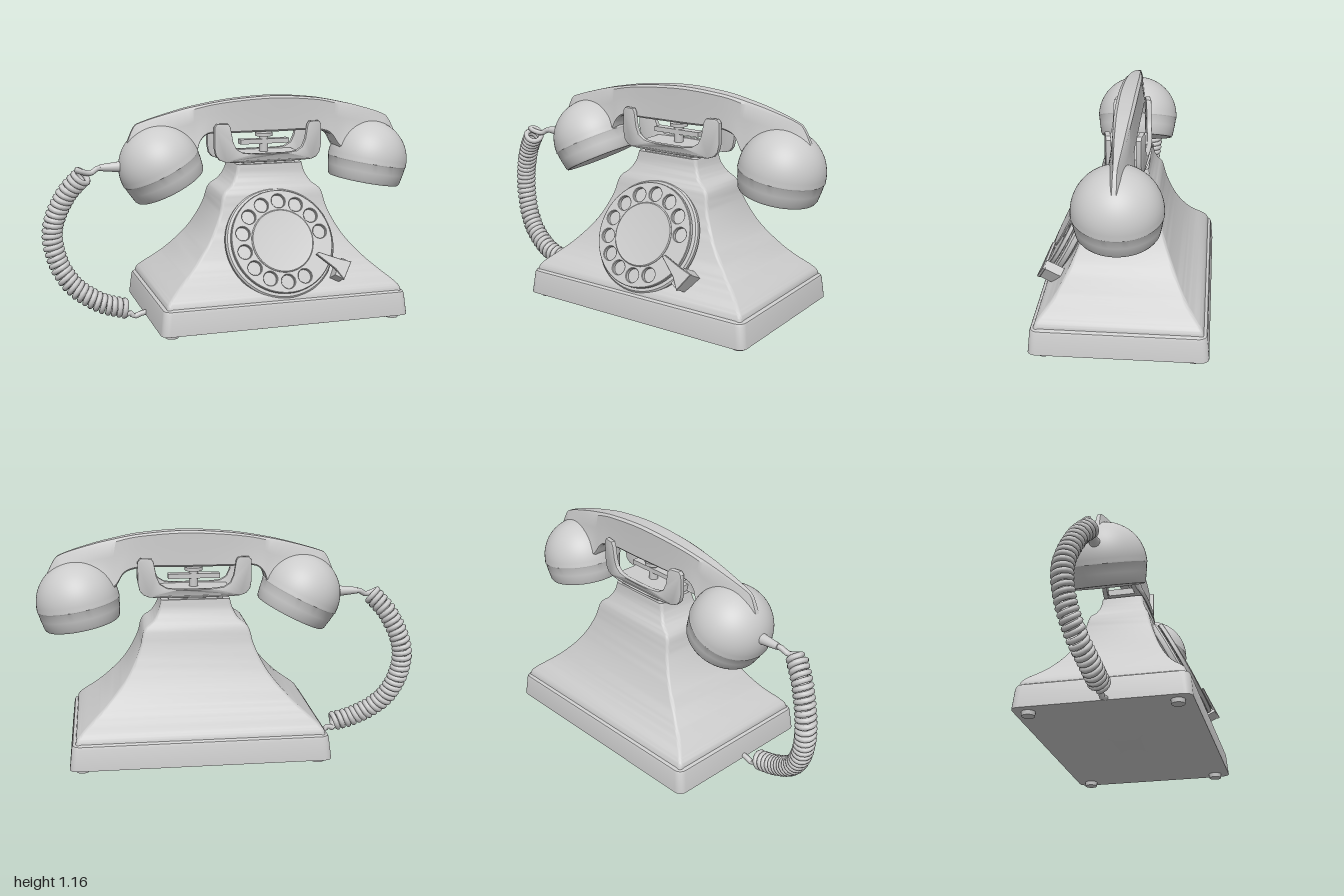
import * as THREE from 'three';
import { toCreasedNormals } from 'three/addons/utils/BufferGeometryUtils.js';

const CX = 0.184; // centre of the body in x
const V2 = (x, y) => new THREE.Vector2(x, y);
const V3 = (x, y, z) => new THREE.Vector3(x, y, z);
const material = new THREE.MeshStandardMaterial({ color: 0xcccccc, side: THREE.DoubleSide });

function add(parent, name, geometry, x = 0, y = 0, z = 0) {
  const mesh = new THREE.Mesh(geometry, material);
  mesh.name = name;
  mesh.position.set(x, y, z);
  parent.add(mesh);
  return mesh;
}

// Skin a list of closed rings (equal point counts) and cap both ends
function loft(rings, crease = 0.6) {
  const n = rings[0].length, pos = [], idx = [];
  rings.flat().forEach(p => pos.push(p.x, p.y, p.z));
  for (let i = 0; i < rings.length - 1; i++) {
    for (let j = 0; j < n; j++) {
      const a = i * n + j, b = i * n + (j + 1) % n;
      idx.push(a, b, a + n, b, b + n, a + n);
    }
  }
  [rings[0], rings.at(-1)].forEach((ring, end) => {
    const c = ring.reduce((s, p) => s.add(p), V3(0, 0, 0)).divideScalar(n);
    const k = pos.length / 3, o = end ? (rings.length - 1) * n : 0;
    pos.push(c.x, c.y, c.z);
    for (let j = 0; j < n; j++) {
      const a = o + j, b = o + (j + 1) % n;
      idx.push(k, end ? a : b, end ? b : a);
    }
  });
  const g = new THREE.BufferGeometry();
  g.setAttribute('position', new THREE.Float32BufferAttribute(pos, 3));
  g.setIndex(idx);
  return toCreasedNormals(g, crease);
}

// Horizontal rounded rectangle at height y
function roundedRing(y, hx, hz, r) {
  const pts = [];
  for (let q = 0; q < 4; q++) {
    const sx = q === 0 || q === 3 ? 1 : -1, sz = q < 2 ? -1 : 1;
    for (let k = 0; k <= 5; k++) {
      const a = (q + k / 5) * Math.PI / 2;
      pts.push(V3(sx * (hx - r) + r * Math.cos(a), y, sz * (hz - r) - r * Math.sin(a)));
    }
  }
  return pts;
}

function buildBody(root) {
  const base = [[0.022, 0.655, 0.43], [0.026, 0.664, 0.441], [0.135, 0.651, 0.431],
    [0.148, 0.646, 0.426], [0.156, 0.632, 0.413]];
  add(root, 'base', loft(base.map(([y, x, z]) => roundedRing(y, x, z, 0.04))), CX);

  // Flared pedestal: half width and half depth against height
  const flare = new THREE.CatmullRomCurve3([
    [0.632, 0.15, 0.413], [0.626, 0.175, 0.405], [0.602, 0.202, 0.386], [0.54, 0.255, 0.336],
    [0.47, 0.318, 0.292], [0.365, 0.44, 0.23], [0.296, 0.575, 0.182], [0.268, 0.67, 0.158],
    [0.222, 0.71, 0.14], [0.192, 0.76, 0.12], [0.178, 0.812, 0.112]].map(p => V3(...p)));
  add(root, 'pedestal', loft(flare.getPoints(50).map(p => roundedRing(p.y, p.x, p.z, 0.018))), CX);

  for (const sx of [-0.6, 0.6]) for (const sz of [-0.365, 0.365]) {
    add(root, 'foot', new THREE.CylinderGeometry(0.036, 0.033, 0.03, 24), CX + sx, 0.015, sz);
  }
}

function buildCradle(root) {
  const cradle = new THREE.Group();
  cradle.name = 'cradle';
  cradle.position.x = CX;
  root.add(cradle);
  // U-shaped fork, bowed outward in the middle
  const right = [[0.1, 0.862], [0.15, 0.868], [0.185, 0.89], [0.203, 0.93], [0.216, 1.005],
    [0.226, 1.02], [0.278, 1.02], [0.29, 1.005], [0.291, 0.9], [0.283, 0.86], [0.265, 0.838], [0.235, 0.827],
    [0.18, 0.825], [0.12, 0.825], [0.05, 0.825]];
  const left = right.map(([x, y]) => [-x, y]).reverse();
  const outline = [[0, 0.862], [0.05, 0.862], ...right, ...left, [-0.05, 0.862]].map(p => V2(...p));
  for (const side of [1, -1]) {
    const g = new THREE.ExtrudeGeometry(new THREE.Shape(outline), {
      depth: 0.018, bevelThickness: 0.004, bevelSize: 0.004, bevelSegments: 2 });
    const p = g.attributes.position;
    for (let i = 0; i < p.count; i++) {
      const x = p.getX(i);
      p.setZ(i, p.getZ(i) - 0.009 + side * (0.072 + 0.03 * (1 - (x / 0.29) ** 2)));
    }
    add(cradle, 'fork', toCreasedNormals(g, 0.6));
  }
  add(cradle, 'cradleFloor', new THREE.BoxGeometry(0.36, 0.035, 0.18), 0, 0.844, 0);
  add(cradle, 'neckPlate', new THREE.BoxGeometry(0.28, 0.02, 0.2), 0, 0.819, 0);
  add(cradle, 'switchBar', new THREE.BoxGeometry(0.27, 0.025, 0.05), 0, 0.917, 0);
  add(cradle, 'plungerStem', new THREE.CylinderGeometry(0.024, 0.024, 0.1, 20), 0, 0.9, 0);
  add(cradle, 'plunger', new THREE.CylinderGeometry(0.046, 0.046, 0.018, 28), 0, 0.953, 0);
}

function buildDial(root) {
  const dial = new THREE.Group();
  dial.name = 'dial';
  dial.position.set(CX, 0.442, 0.313);
  dial.rotation.x = -0.465;
  root.add(dial);
  const turned = (name, pts) => {
    const g = new THREE.LatheGeometry(pts.map(p => V2(...p)), 64);
    add(dial, name, toCreasedNormals(g, 0.6)).rotation.x = Math.PI / 2;
  };
  turned('dialHousing', [[0.24, -0.14], [0.255, -0.075], [0.288, -0.065], [0.292, -0.058],
    [0.292, -0.04], [0.284, -0.03], [0.265, -0.028], [0, -0.028]]);
  turned('dialHub', [[0.165, -0.02], [0.165, 0.003], [0.16, 0.008], [0.145, 0.006], [0, 0.008]]);

  // Finger wheel with twelve holes
  const wheel = new THREE.Shape().absarc(0, 0, 0.268, 0, Math.PI * 2, false);
  for (let i = 0; i < 12; i++) {
    const a = (10 + i * 26) * Math.PI / 180;
    wheel.holes.push(new THREE.Path().absarc(0.212 * Math.cos(a), 0.212 * Math.sin(a), 0.039, 0, Math.PI * 2, true));
  }
  add(dial, 'fingerWheel', toCreasedNormals(new THREE.ExtrudeGeometry(wheel, {
    depth: 0.018, curveSegments: 32, bevelThickness: 0.003, bevelSize: 0.003, bevelSegments: 1 }), 0.6), 0, 0, -0.021);

  // Finger stop: bracket beside the wheel with a pointed arm over it
  const stop = new THREE.Group();
  stop.name = 'fingerStop';
  stop.position.set(0.29, -0.17, 0);
  stop.rotation.z = -0.55;
  dial.add(stop);
  add(stop, 'stopBracket', new THREE.BoxGeometry(0.05, 0.1, 0.125), 0.005, 0, -0.038);
  const arm = new THREE.Shape([V2(0.03, -0.05), V2(0.03, 0.05), V2(-0.03, 0.035), V2(-0.145, 0.016),
    V2(-0.15, 0.004), V2(-0.03, -0.02)]);
  add(stop, 'stopArm', new THREE.ExtrudeGeometry(arm, {
    depth: 0.01, bevelThickness: 0.003, bevelSize: 0.003, bevelSegments: 1 }), 0, 0, 0.018);
}

function buildHandset(root) {
  const handset = new THREE.Group();
  handset.name = 'handset';
  root.add(handset);
  // Crest and underside of the handle as x, y, half thickness
  const curve = pts => new THREE.CatmullRomCurve3(pts.map(p => V3(...p)));
  const crest = curve([[-0.572, 0.88, 0.022], [-0.548, 0.95, 0.016], [-0.512, 1.022, 0.013], [-0.48, 1.038, 0.015],
    [-0.26, 1.1, 0.033], [-0.17, 1.118, 0.039], [-0.12, 1.127, 0.042], [0, 1.144, 0.047], [0.24, 1.158, 0.05],
    [0.46, 1.143, 0.046], [0.52, 1.134, 0.043], [0.6, 1.118, 0.038], [0.7, 1.095, 0.031],
    [0.86, 1.045, 0.015], [0.892, 1.026, 0.013], [0.945, 0.93, 0.016], [0.977, 0.86, 0.022]]);
  const under = curve([[-0.5, 0.83, 0.07], [-0.47, 0.86, 0.08], [-0.43, 0.88, 0.085], [-0.4, 0.88, 0.085],
    [-0.21, 0.87, 0.07], [-0.178, 0.935, 0.06], [-0.14, 0.968, 0.056], [0, 0.97, 0.055], [0.24, 0.97, 0.055],
    [0.48, 0.968, 0.055], [0.545, 0.945, 0.058], [0.6, 0.87, 0.07], [0.66, 0.87, 0.08],
    [0.8, 0.88, 0.085], [0.83, 0.88, 0.085], [0.87, 0.86, 0.08], [0.9, 0.83, 0.07]]);
  const rings = [];
  for (let i = 0; i <= 80; i++) {
    const t = crest.getPoint(i / 80), b = under.getPoint(i / 80);
    const at = (f, z) => V3(t.x + (b.x - t.x) * f, t.y + (b.y - t.y) * f, z);
    const half = [at(0, t.z * 0.7), at(0.06, t.z), at(0.35, t.z + (b.z - t.z) * 0.2),
      at(0.65, t.z + (b.z - t.z) * 0.5), at(0.95, b.z), at(1, b.z * 0.85)];
    rings.push([...half, ...half.map(p => V3(p.x, p.y, -p.z)).reverse()]);
  }
  add(handset, 'handle', loft(rings));

  // Domed cups with a tapered cap ring and a dished face
  const profile = [V2(0, 0.03), V2(0.09, 0.024), V2(0.15, 0.012), V2(0.183, 0), V2(0.192, 0.001),
    V2(0.199, 0.012), V2(0.208, 0.06), V2(0.214, 0.104), V2(0.217, 0.108)];
  for (let k = 0; k <= 18; k++) {
    const a = k / 18 * Math.PI / 2;
    profile.push(V2(0.216 * Math.cos(a), 0.115 + 0.216 * Math.sin(a)));
  }
  for (const [name, x, y, tilt] of [['mouthpiece', -0.33, 0.702, 0.465], ['earpiece', 0.765, 0.678, -0.177]]) {
    add(handset, name, toCreasedNormals(new THREE.LatheGeometry(profile, 56), 0.6), x, y, 0).rotation.z = tilt;
  }
  const sleeve = new THREE.CylinderGeometry(0.017, 0.031, 0.13, 24);
  add(handset, 'cordSleeve', sleeve, -0.63, 0.813, 0).rotation.z = Math.PI / 2;
}

function buildCord(root) {
  const spine = new THREE.CatmullRomCurve3([[-0.785, 0.785, 0.03], [-0.87, 0.68, -0.015], [-0.938, 0.5, -0.055],
    [-0.922, 0.34, -0.045], [-0.85, 0.205, -0.015], [-0.71, 0.105, 0.02], [-0.58, 0.065, 0.03]].map(p => V3(...p)));
  const points = [V3(-0.66, 0.812, 0), V3(-0.71, 0.81, 0.005), V3(-0.745, 0.79, 0.015)];
  const turns = 33, steps = turns * 14;
  for (let i = 0; i <= steps; i++) {
    const t = i / steps, a = t * turns * Math.PI * 2;
    const tangent = spine.getTangentAt(t);
    const n = tangent.clone().cross(V3(0, 0, 1)).normalize(), b = tangent.clone().cross(n);
    points.push(spine.getPointAt(t).addScaledVector(n, 0.041 * Math.cos(a)).addScaledVector(b, 0.041 * Math.sin(a)));
  }
  points.push(V3(-0.56, 0.04, 0.03), V3(-0.54, 0.02, 0.03), V3(-0.5, 0.032, 0.03), V3(-0.45, 0.04, 0.03));
  // Points are evenly dense, so step the tube through them by parameter
  const path = new THREE.CatmullRomCurve3(points);
  path.arcLengthDivisions = 3000;
  add(root, 'coiledCord', new THREE.TubeGeometry(path, steps + 60, 0.0145, 8, false));
}

export function createModel() {
  const root = new THREE.Group();
  root.name = 'telephone';
  [buildBody, buildCradle, buildDial, buildHandset, buildCord].forEach(build => build(root));
  return root;
}
